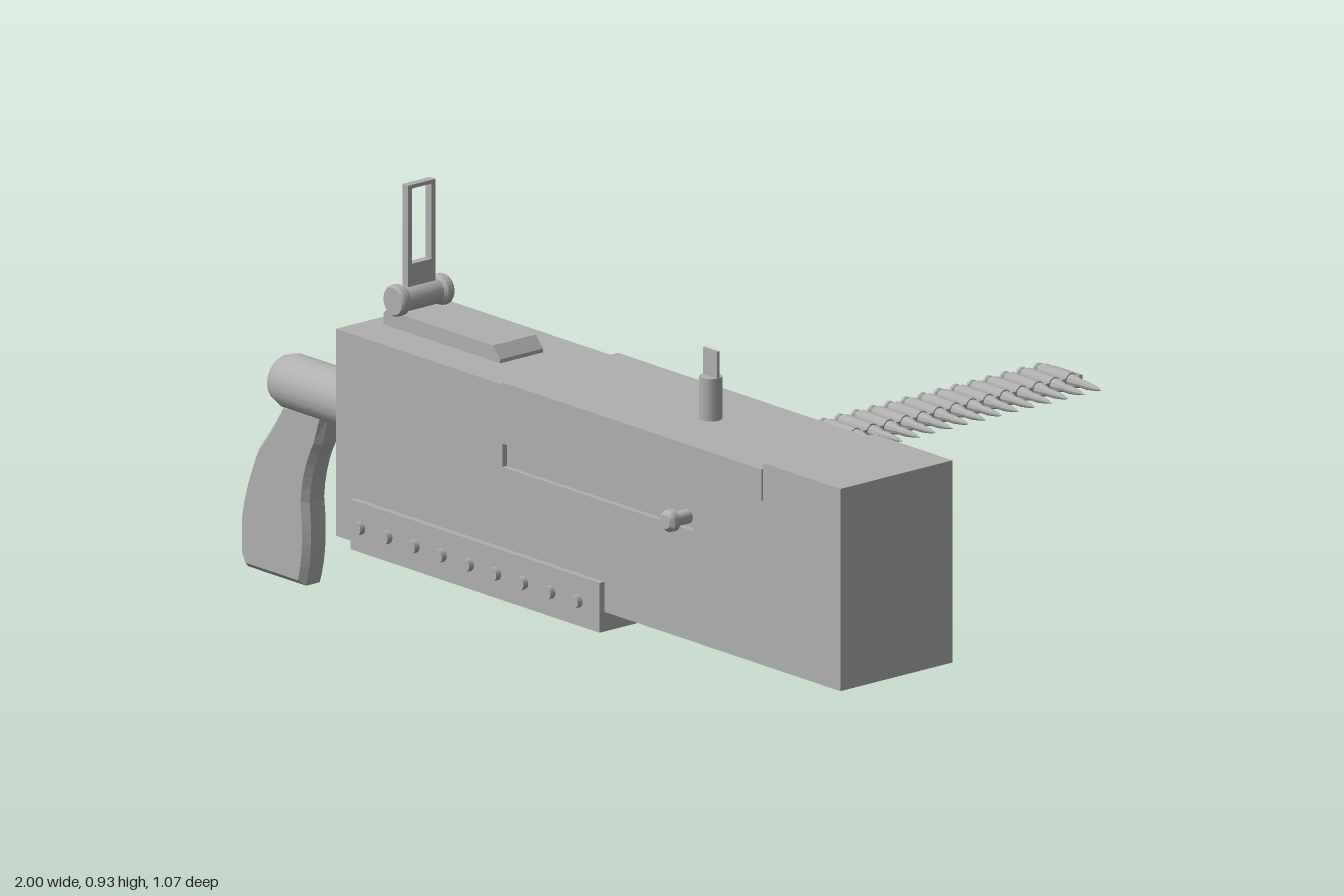
import * as THREE from 'three';
import { toCreasedNormals } from 'three/addons/utils/BufferGeometryUtils.js';

export function createModel() {
  const root = new THREE.Group();
  const grey = new THREE.MeshStandardMaterial({ color: 0xb0b0b0 });
  grey.name = 'plain grey';
  const MID = 0.333; // z of the receiver's centre plane

  const add = (name, geo, x = 0, y = 0, z = 0, parent = root) => {
    const mesh = new THREE.Mesh(geo, grey);
    mesh.name = name;
    mesh.position.set(x, y, z);
    parent.add(mesh);
    return mesh;
  };
  // box given by its limits on each axis
  const box = (name, x0, x1, y0, y1, z0, z1, parent) =>
    add(name, new THREE.BoxGeometry(x1 - x0, y1 - y0, z1 - z0),
      (x0 + x1) / 2, (y0 + y1) / 2, (z0 + z1) / 2, parent);
  const shapeOf = pts => new THREE.Shape(pts.map(p => new THREE.Vector2(...p)));
  const rect = (x0, x1, y0, y1) => [[x0, y0], [x1, y0], [x1, y1], [x0, y1]];
  // outline in x, y pushed from z0 to z1
  const slab = (name, shape, z0, z1) =>
    add(name, new THREE.ExtrudeGeometry(shape, { depth: z1 - z0, bevelEnabled: false }), 0, 0, z0);
  // profile of [radius, distance] turned about an axis
  const turned = (pts, axis, sides = 16) => {
    const g = new THREE.LatheGeometry(pts.map(p => new THREE.Vector2(...p)), sides);
    if (axis === 'x') g.rotateZ(-Math.PI / 2);
    if (axis === 'z') g.rotateX(Math.PI / 2);
    return toCreasedNormals(g, 0.6);
  };

  // Receiver: core, slotted side skin and bottom skin with ejection port
  slab('receiverCore', shapeOf([[-0.56, 0.19], [0.26, 0.19], [0.26, 0.232], [1, 0.232],
    [1, 0.65], [0.76, 0.65], [0.76, 0.63], [-0.56, 0.63]]), 0.183, 0.473);
  const side = shapeOf([[-0.56, 0.19], [0.26, 0.19], [0.26, 0.22], [1, 0.22],
    [1, 0.65], [0.76, 0.65], [0.76, 0.63], [-0.56, 0.63]]);
  side.holes.push(shapeOf(rect(-0.045, 0.545, 0.455, 0.505)));
  slab('slottedSide', side, 0.473, 0.485);
  const floor = shapeOf(rect(0.26, 1, -0.473, -0.183));
  floor.holes.push(shapeOf(rect(0.31, 0.69, -0.372, -0.302)));
  const floorGeo = new THREE.ExtrudeGeometry(floor, { depth: 0.012, bevelEnabled: false });
  floorGeo.rotateX(-Math.PI / 2);
  add('portedFloor', floorGeo, 0, 0.22, 0);

  // Feed cover with overhanging sides and a notch for the belt
  box('coverTop', -0.04, 0.76, 0.63, 0.637, 0.177, 0.489);
  box('coverSide', -0.04, 0.76, 0.57, 0.63, 0.485, 0.489);
  slab('coverFeedSide', shapeOf([[-0.04, 0.57], [0.45, 0.57], [0.45, 0.605], [0.69, 0.605],
    [0.69, 0.57], [0.76, 0.57], [0.76, 0.63], [-0.04, 0.63]]), 0.177, 0.183);

  // Riveted lower tray
  box('lowerTray', -0.5, 0.27, 0.178, 0.284, 0.172, 0.498);
  const rivetGeo = new THREE.CylinderGeometry(0.014, 0.014, 0.014, 12);
  rivetGeo.rotateX(Math.PI / 2);
  for (let i = 0; i < 9; i++)
    for (const z of [0.165, 0.504]) add('rivet', rivetGeo, -0.468 + i * 0.084, 0.231, z);

  // Charging knob
  add('chargingKnob', turned([[0.015, 0], [0.015, 0.035], [0.023, 0.041], [0.023, 0.055],
    [0.015, 0.063], [0, 0.063]], 'z'), 0.515, 0.478, 0.472);

  // Rear tube that carries the grip
  add('rearTube', turned([[0, 0], [0.033, 0], [0.05, 0.015], [0.058, 0.04], [0.058, 0.285],
    [0.07, 0.325], [0.07, 0.35]], 'x', 20), -0.905, 0.418, MID);

  // Pistol grip with bevelled edges
  const grip = new THREE.Shape();
  grip.moveTo(-0.985, 0);
  grip.lineTo(-0.805, 0);
  grip.lineTo(-0.796, 0.04);
  grip.quadraticCurveTo(-0.785, 0.1, -0.795, 0.18);
  grip.quadraticCurveTo(-0.79, 0.25, -0.755, 0.31);
  grip.lineTo(-0.735, 0.38);
  grip.lineTo(-0.865, 0.38);
  grip.quadraticCurveTo(-0.9, 0.32, -0.95, 0.26);
  grip.quadraticCurveTo(-0.995, 0.16, -1, 0.1);
  grip.lineTo(-1, 0.03);
  const gripGeo = new THREE.ExtrudeGeometry(grip, { depth: 0.036, curveSegments: 5,
    bevelThickness: 0.014, bevelSize: 0.012, bevelOffset: -0.012, bevelSegments: 1 });
  add('grip', gripGeo, 0, 0, MID - 0.018);

  // Trigger
  const trigger = new THREE.Shape();
  trigger.moveTo(-0.55, 0.284);
  trigger.lineTo(-0.595, 0.284);
  trigger.quadraticCurveTo(-0.645, 0.265, -0.662, 0.208);
  trigger.lineTo(-0.65, 0.208);
  trigger.quadraticCurveTo(-0.63, 0.25, -0.59, 0.262);
  trigger.lineTo(-0.55, 0.262);
  slab('trigger', trigger, MID - 0.014, MID + 0.014);

  // Rear sight: base, hinge spool and upright open frame
  slab('rearSightBase', shapeOf([[-0.52, 0.625], [-0.16, 0.625], [-0.16, 0.638], [-0.182, 0.663],
    [-0.51, 0.663], [-0.52, 0.655]]), 0.275, 0.391);
  add('rearSightHinge', turned([[0, -0.071], [0.029, -0.071], [0.033, -0.066], [0.033, -0.052],
    [0.027, -0.045], [0.027, 0.045], [0.033, 0.052], [0.033, 0.066], [0.029, 0.071], [0, 0.071]],
    'z'), -0.475, 0.692, MID + 0.002);
  const frame = shapeOf(rect(-0.037, 0.037, 0.69, 0.933));
  frame.holes.push(shapeOf(rect(-0.026, 0.026, 0.765, 0.925)));
  const frameGeo = new THREE.ExtrudeGeometry(frame, { depth: 0.018, bevelEnabled: false });
  frameGeo.rotateY(Math.PI / 2);
  add('rearSightFrame', frameGeo, -0.484, 0, MID + 0.002);

  // Front sight: post and thin blade
  add('frontSightPost', new THREE.CylinderGeometry(0.024, 0.024, 0.1, 16), 0.425, 0.677, MID);
  box('frontSightBlade', 0.404, 0.448, 0.72, 0.784, MID - 0.003, MID + 0.003);

  // Ammunition belt: repeated rounds joined by flat links
  const belt = new THREE.Group();
  belt.name = 'belt';
  root.add(belt);
  const roundGeo = turned([[0, 0], [0.014, 0], [0.014, 0.006], [0.011, 0.009], [0.014, 0.013],
    [0.0135, 0.118], [0.0085, 0.136], [0.0085, 0.155], [0.005, 0.182], [0, 0.2]], 'x', 10);
  const loopGeo = new THREE.CylinderGeometry(0.0165, 0.0165, 0.084, 10);
  loopGeo.rotateZ(Math.PI / 2);
  for (let i = 0; i < 16; i++) {
    const z = 0.165 - i * 0.0447;
    add('round', roundGeo, 0.474, 0.584, z, belt);
    add('linkLoop', loopGeo, 0.537, 0.584, z, belt);
    box('linkBar', 0.495, 0.579, 0.578, 0.59, z - 0.03, z, belt);
  }
  return root;
}
